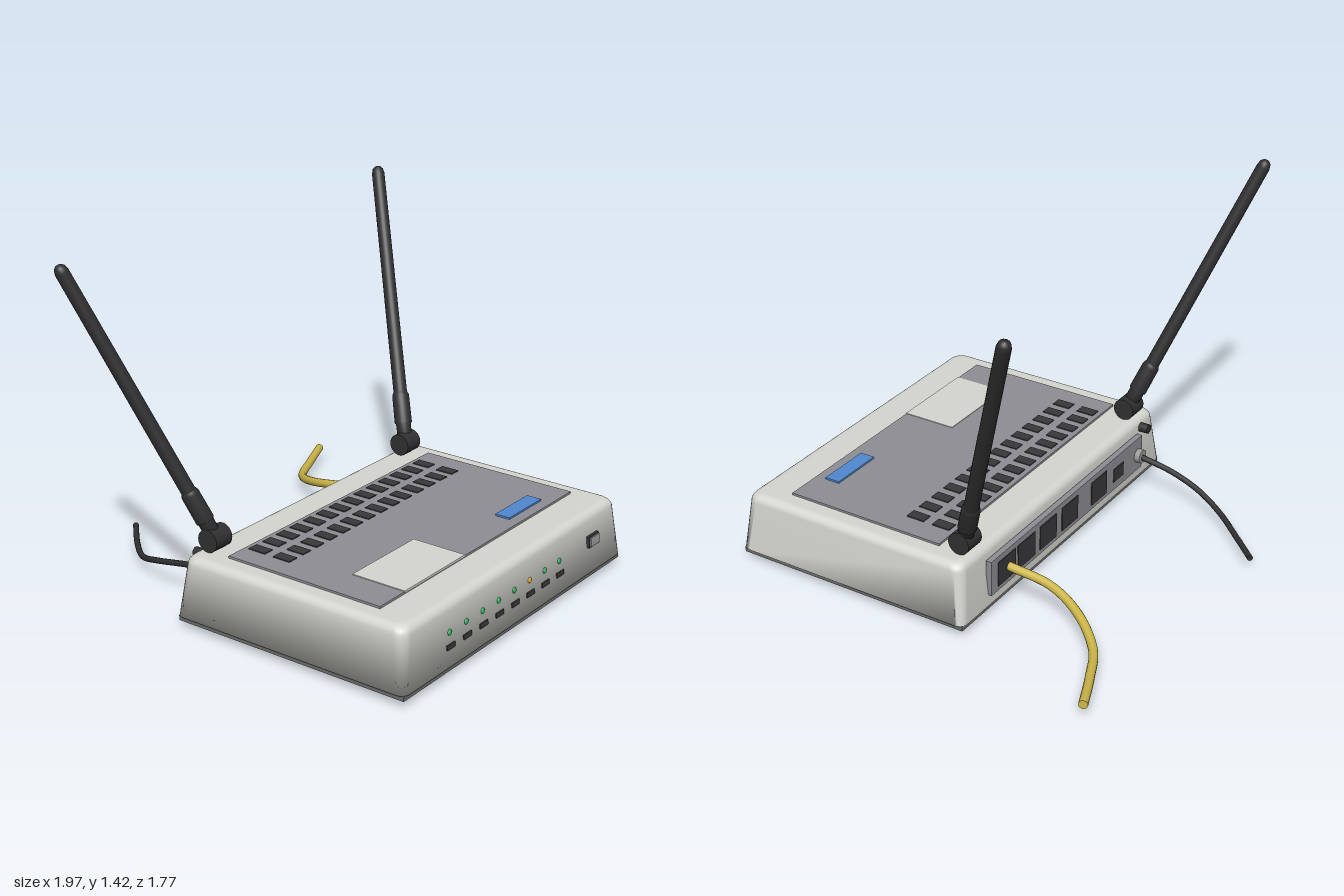
import * as THREE from 'three';

const mat = (name, color) => {
  const m = new THREE.MeshStandardMaterial({ color });
  m.name = name;
  return m;
};

// Stacked rounded-rectangle rings [y, halfX, halfZ, cornerRadius], closed top and bottom
function loft(rings, steps = 5) {
  const pos = [], index = [], n = 4 * (steps + 1);
  for (const [y, hx, hz, r] of rings) {
    for (let q = 0; q < 4; q++) {
      const sx = q === 0 || q === 3 ? 1 : -1, sz = q < 2 ? -1 : 1;
      for (let i = 0; i <= steps; i++) {
        const a = (q + i / steps) * Math.PI / 2;
        pos.push(sx * (hx - r) + r * Math.cos(a), y, sz * (hz - r) - r * Math.sin(a));
      }
    }
  }
  for (let k = 0; k < rings.length - 1; k++) {
    for (let i = 0; i < n; i++) {
      const a = k * n + i, b = k * n + (i + 1) % n;
      index.push(a, b, b + n, a, b + n, a + n);
    }
  }
  const last = (rings.length - 1) * n;
  for (let i = 1; i < n - 1; i++) {
    index.push(last, last + i, last + i + 1);
    index.push(0, i + 1, i);
  }
  const g = new THREE.BufferGeometry();
  g.setAttribute('position', new THREE.Float32BufferAttribute(pos, 3));
  g.setIndex(index);
  g.computeVertexNormals();
  return g;
}

export function createModel() {
  const shell = mat('shell light grey', 0xd6d6d0);
  const base = mat('base grey', 0x6c6c6c);
  const panel = mat('panel grey', 0x8e8e94);
  const black = mat('black plastic', 0x303032);
  const dark = mat('dark openings', 0x38383a);
  const green = mat('green light', 0x2fae5e);
  const amber = mat('amber light', 0xd8a030);
  const blue = mat('blue label', 0x5088d0);
  const yellow = mat('yellow cable', 0xccb548);
  const metal = mat('connector grey', 0x9a9a9a);

  const model = new THREE.Group();
  model.name = 'router';
  const add = (name, geo, m, x = 0, y = 0, z = 0, parent = model) => {
    const mesh = new THREE.Mesh(geo, m);
    mesh.name = name;
    mesh.position.set(x, y, z);
    parent.add(mesh);
    return mesh;
  };
  const box = (name, w, h, d, m, x, y, z, parent) =>
    add(name, new THREE.BoxGeometry(w, h, d), m, x, y, z, parent);
  const ZC = 0.345;

  // Tapered shell with a rounded top edge
  const rings = [[0.05, 0.765, 0.53, 0.035]];
  for (let i = 0; i <= 6; i++) {
    const a = i / 6 * Math.PI / 2, inset = 0.035 * (1 - Math.cos(a));
    rings.push([0.262 + 0.035 * Math.sin(a), 0.741 - inset, 0.508 - inset, 0.045]);
  }
  rings.push([0.297, 0.69, 0.457, 0.04]);
  add('shell', loft(rings), shell, 0, 0, ZC);

  // Base tray and feet
  box('baseTray', 1.51, 0.022, 1.045, base, 0, 0.04, ZC);
  for (const x of [-0.62, 0.62]) for (const z of [-0.04, 0.735]) {
    add('foot', new THREE.CylinderGeometry(0.036, 0.046, 0.03, 24), black, x, 0.015, z);
  }

  // Top panel with vents and labels
  box('topPanel', 1.31, 0.014, 0.7, panel, 0, 0.299, 0.34);
  for (let i = 0; i < 14; i++) for (const z of [0.05, 0.168]) {
    box('vent', 0.047, 0.006, 0.078, dark, -0.54 + i * 0.0827, 0.307, z);
  }
  box('paleLabel', 0.39, 0.006, 0.235, shell, -0.31, 0.306, 0.573);
  box('blueLabel', 0.235, 0.009, 0.065, blue, 0.383, 0.309, 0.612);

  // Sloping front: status lights, marks and button
  const front = new THREE.Group();
  front.name = 'frontDetails';
  front.position.set(0, 0.05, 0.875);
  front.rotation.x = -Math.atan2(0.022, 0.212);
  model.add(front);
  for (let i = 0; i < 8; i++) {
    const x = -0.467 + i * 0.108;
    const led = add('statusLight', new THREE.SphereGeometry(0.012, 14, 8), i === 5 ? amber : green, x, 0.132, 0, front);
    led.scale.z = 0.6;
    box('lightMark', 0.052, 0.019, 0.006, dark, x, 0.079, 0.001, front);
  }
  box('buttonFrame', 0.076, 0.047, 0.014, dark, 0.538, 0.134, 0.005, front);
  box('button', 0.064, 0.036, 0.014, metal, 0.538, 0.134, 0.011, front);

  // Rear panel with ports
  box('rearPanel', 1.16, 0.15, 0.025, panel, 0, 0.17, -0.183);
  for (const x of [0.475, 0.335, 0.175, 0.01, -0.22]) {
    box('port', 0.122, 0.105, 0.008, dark, x, 0.168, -0.195);
  }
  box('smallPort', 0.08, 0.06, 0.008, dark, -0.38, 0.165, -0.195);
  const jack = add('powerJack', new THREE.CylinderGeometry(0.03, 0.03, 0.03, 24), metal, -0.545, 0.165, -0.205);
  jack.rotation.x = Math.PI / 2;
  const knob = add('rearButton', new THREE.CylinderGeometry(0.02, 0.02, 0.04, 20), black, -0.62, 0.258, -0.185);
  knob.rotation.x = Math.PI / 2;

  // Cables with closed ends
  const cable = (name, points, r, m) => {
    const curve = new THREE.CatmullRomCurve3(points.map(p => new THREE.Vector3(...p)));
    add(name, new THREE.TubeGeometry(curve, 48, r, 12), m);
    for (const t of [0, 1]) {
      const p = curve.getPoint(t), d = curve.getTangent(t).multiplyScalar(t ? 1 : -1);
      const cap = add(name + 'End', new THREE.CircleGeometry(r, 12), m, p.x, p.y, p.z);
      cap.quaternion.setFromUnitVectors(new THREE.Vector3(0, 0, 1), d);
    }
  };
  cable('networkCable', [[0.46, 0.165, -0.195], [0.452, 0.135, -0.38], [0.505, 0.095, -0.53],
    [0.62, 0.052, -0.665], [0.77, 0.047, -0.74], [0.925, 0.053, -0.805]], 0.018, yellow);
  cable('powerCable', [[-0.545, 0.165, -0.19], [-0.545, 0.135, -0.36], [-0.522, 0.1, -0.5],
    [-0.47, 0.062, -0.625], [-0.36, 0.045, -0.76], [-0.24, 0.052, -0.88]], 0.012, black);

  // Antennas: hinge plus leaning rod with a stepped sleeve
  const profile = [[0, 0], [0.03, 0], [0.032, 0.08], [0.037, 0.082], [0.036, 0.2], [0.03, 0.215],
    [0.029, 0.216], [0.027, 1.17], [0.022, 1.19], [0.012, 1.2], [0, 1.203]]
    .map(([r, y]) => new THREE.Vector2(r, y));
  for (const s of [-1, 1]) {
    const antenna = new THREE.Group();
    antenna.name = s > 0 ? 'leftAntenna' : 'rightAntenna';
    antenna.position.set(s * 0.62, 0.343, -0.105);
    model.add(antenna);
    const hinge = add('hinge', new THREE.CylinderGeometry(0.046, 0.046, 0.09, 28), black, 0, 0, 0, antenna);
    hinge.rotation.z = Math.PI / 2;
    const rod = add('rod', new THREE.LatheGeometry(profile, 24), black, 0, 0, 0, antenna);
    rod.quaternion.setFromUnitVectors(new THREE.Vector3(0, 1, 0),
      new THREE.Vector3(s * 0.347, 1.075, -0.41).normalize());
  }
  return model;
}
